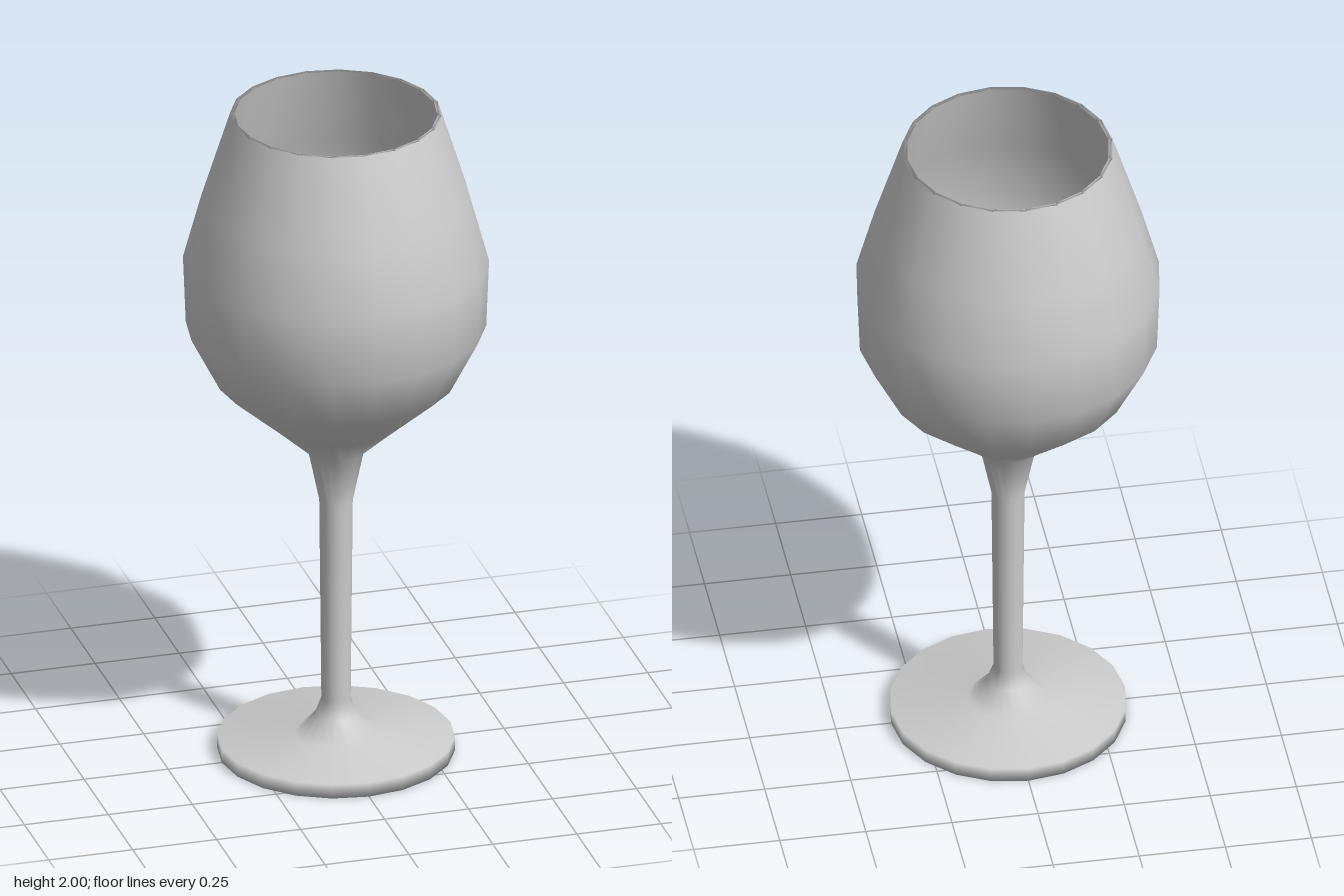
import * as THREE from 'three';

const SIDES = 20;

// Outline of each part, [radius, height], running from the underside up the
// outside, over the lip and down the inside. Each part starts where the last ends.
const parts = {
  foot: [[0, 0], [0.34, 0], [0.34, 0.043], [0.115, 0.053], [0.06, 0.115], [0.042, 0.165]],
  stem: [[0.048, 0.785], [0.08, 0.94]],
  bowl: [
    [0.185, 1.035], [0.345, 1.175], [0.43, 1.34], [0.438, 1.545], [0.385, 1.74], [0.303, 2],
  ],
  bowlInside: [
    [0.291, 2], [0.371, 1.74], [0.423, 1.54], [0.415, 1.35], [0.33, 1.19], [0.17, 1.05], [0.06, 0.98], [0, 0.97],
  ],
};

export function createModel() {
  const group = new THREE.Group();
  group.name = 'wineGlass';
  const material = new THREE.MeshStandardMaterial({ color: 0xcccccc });

  // One revolved surface, so shading stays smooth where the parts meet
  const points = Object.values(parts).flat().map(([r, y]) => new THREE.Vector2(r, y));
  const whole = new THREE.LatheGeometry(points, SIDES);
  const index = Array.from(whole.index.array);
  const bands = points.length - 1;

  // Give each part its own horizontal bands of that surface
  let first = 0;
  let end = -1;
  for (const [name, outline] of Object.entries(parts)) {
    end += outline.length;
    const faces = [];
    for (let i = 0; i < SIDES; i++) {
      faces.push(...index.slice((i * bands + first) * 6, (i * bands + end) * 6));
    }
    const geometry = whole.clone();
    geometry.setIndex(faces);
    const mesh = new THREE.Mesh(geometry, material);
    mesh.name = name;
    group.add(mesh);
    first = end;
  }
  return group;
}
